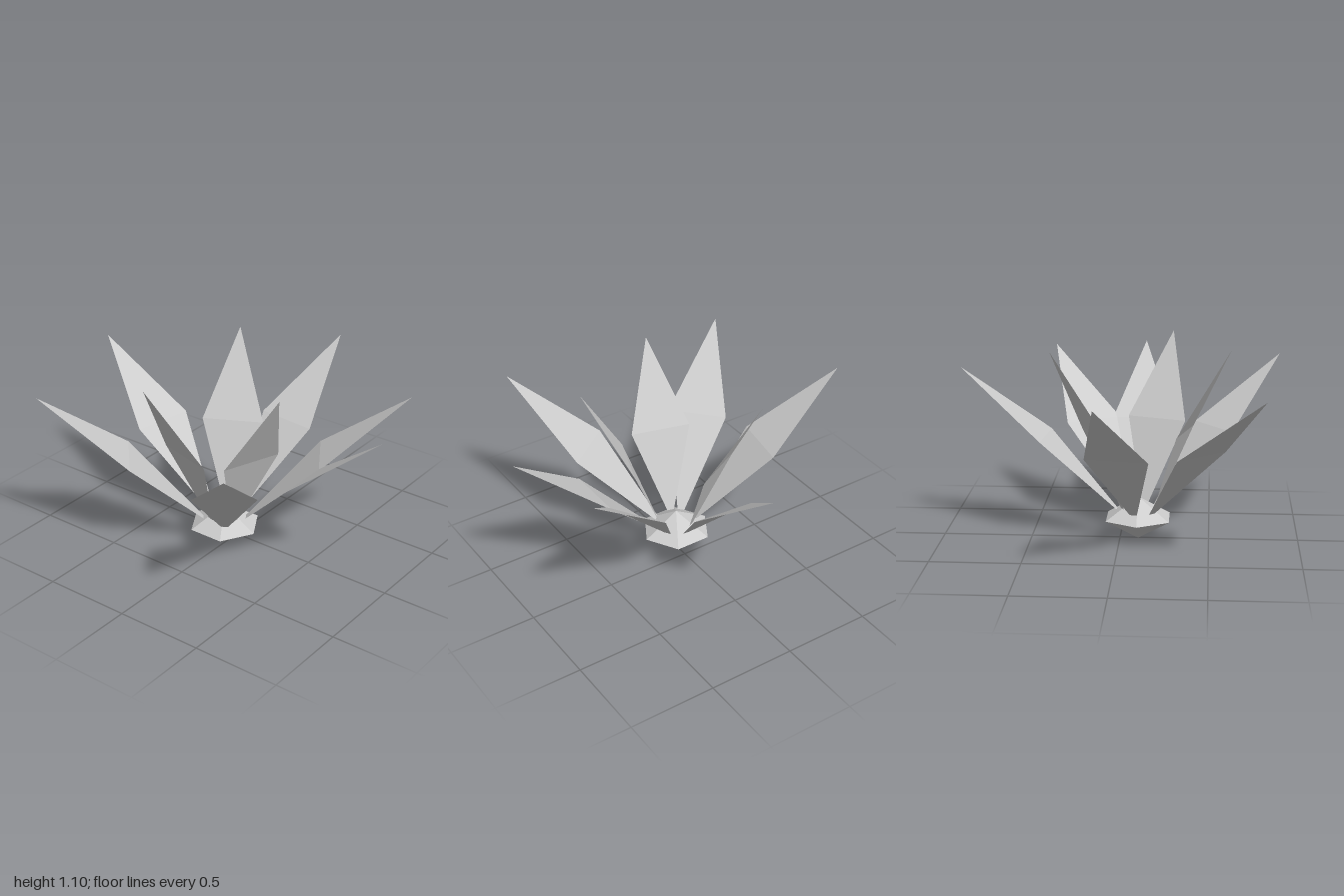
import * as THREE from 'three';

const GOLDEN_ANGLE = THREE.MathUtils.degToRad(137.5);

// Flat leaf along +x from stations [radius, height, halfWidth], creased at its widest station.
function leafGeometry(stations) {
  const positions = [];
  for (const [r, y, w] of stations) positions.push(r, y, -w, r, y, w);
  const geometry = new THREE.BufferGeometry();
  geometry.setAttribute('position', new THREE.Float32BufferAttribute(positions, 3));
  // trapezoid up to the widest station, then a triangle to the tip
  geometry.setIndex([0, 1, 3, 0, 3, 2, 2, 3, 4]);
  const flat = geometry.toNonIndexed();
  flat.computeVertexNormals();
  return flat;
}

export function createModel() {
  const model = new THREE.Group();
  model.name = 'plant';
  const grey = new THREE.MeshStandardMaterial({ color: 0xcccccc, flatShading: true, side: THREE.DoubleSide });
  grey.name = 'light grey';

  const plant = new THREE.Group();
  plant.name = 'rosette';
  plant.position.set(-0.008, 0, 0.102);
  model.add(plant);

  // Six-sided double pyramid at the base
  const core = new THREE.Mesh(new THREE.SphereGeometry(0.203, 6, 2), grey);
  core.name = 'core';
  core.scale.y = 0.6;
  core.position.y = 0.122;
  plant.add(core);

  // Six spreading outer leaves, then three steeper inner ones, in a golden-angle spiral
  const outer = leafGeometry([[0.12, 0.167, 0.02], [0.525, 0.578, 0.174], [1.008, 0.955, 0]]);
  const inner = leafGeometry([[0.098, 0.183, 0.02], [0.27, 0.637, 0.174], [0.524, 1.105, 0]]);
  for (let i = 0; i < 9; i++) {
    const leaf = new THREE.Mesh(i < 6 ? outer : inner, grey);
    leaf.name = i < 6 ? 'outerLeaf' : 'innerLeaf';
    leaf.rotation.y = -i * GOLDEN_ANGLE;
    plant.add(leaf);
  }
  return model;
}
